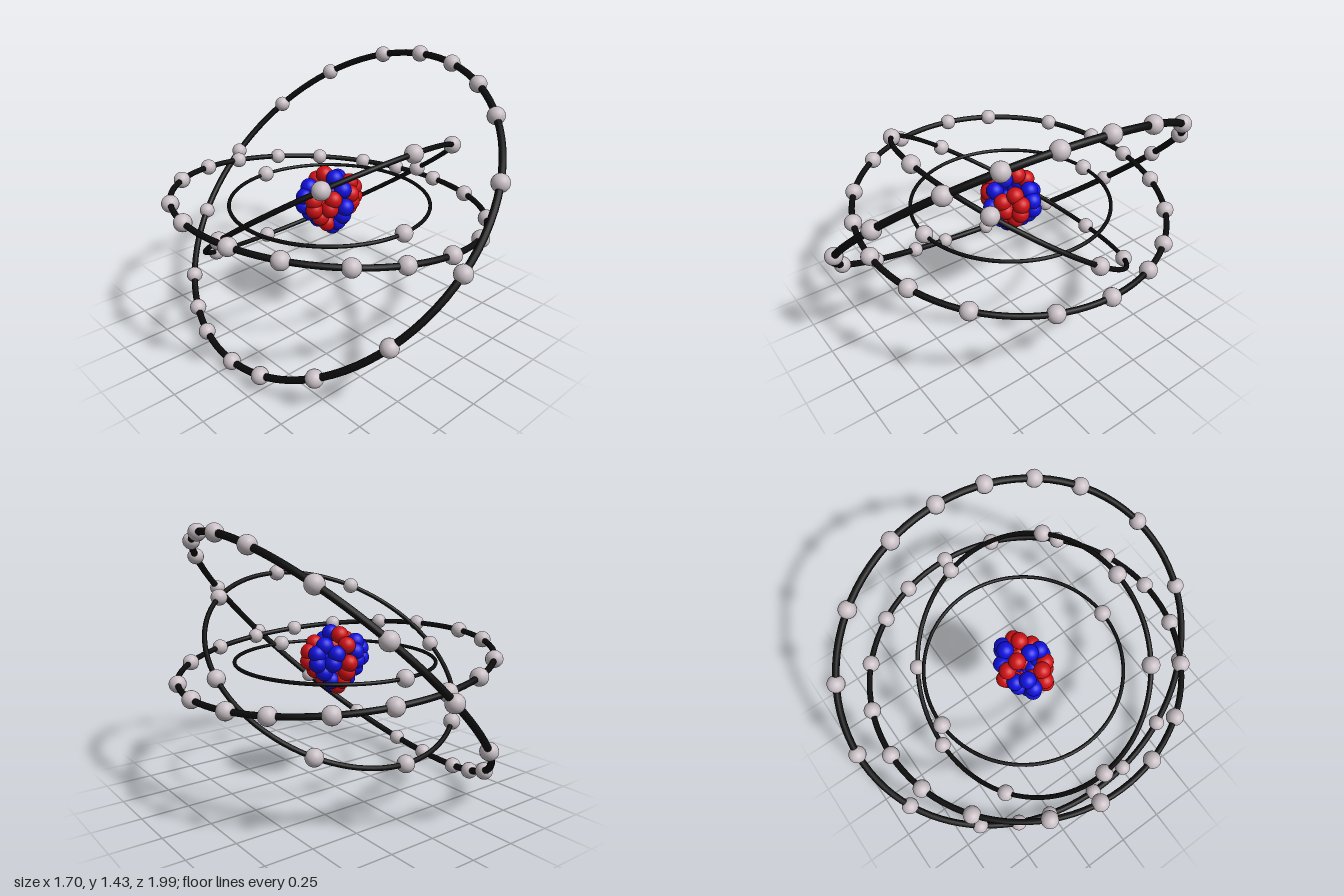
import * as THREE from 'three';

const CENTER_Y = 0.72;
const mat = (color) => new THREE.MeshStandardMaterial({ color });

// Each shell: radius, in-plane axes u and v, electron angles in degrees from u towards v
const SHELLS = [
  { name: 'innerShell', r: 0.523, u: [0, 0, 1], v: [1, 0, 0], angles: [0, 182] },
  { name: 'secondShell', r: 0.692, u: [0, 0.59, 0.807], v: [1, 0, 0],
    angles: [0, 39.5, 90, 140.5, 180, 219.5, 270, 320.5] },
  { name: 'thirdShell', r: 0.815, u: [0, 0, 1], v: [0.994, -0.107, 0],
    angles: [0, 19.5, 41, 68, 88, 107, 122.5, 142, 161, 180, 197, 217, 243.5, 261.5, 285, 303, 324, 341.5] },
  { name: 'outerShell', r: 0.955, u: [0.705, 0.705, 0.074], v: [-0.105, 0, 0.995],
    angles: [10, 25, 40, 63, 90, 117, 141, 161, 174.5, 192, 203.5, 217.5, 244, 270, 294, 316.3, 339, 355] },
];

// Nucleon layers: height above the centre, then [x, z] spots mirrored in x and z
const LAYERS = [
  [0.135, [[0, 0.04]]],
  [0.09, [[0, 0.1], [0.1, 0.045]]],
  [0.05, [[0.14, 0.035], [0.06, 0.095]]],
  [0, [[0, 0.12], [0.14, 0.04], [0.075, 0.085]]],
  [-0.05, [[0, 0.1], [0.1, 0.04]]],
  [-0.1, [[0, 0.06], [0.05, 0.035]]],
  [-0.138, [[0, 0.02]]],
];

function makeShell({ name, r, u, v, angles }, ringMat, electronMat, electronGeo) {
  const shell = new THREE.Group();
  shell.name = name;
  const U = new THREE.Vector3(...u).normalize();
  const V = new THREE.Vector3(...v).normalize();
  const W = new THREE.Vector3().crossVectors(U, V);
  shell.quaternion.setFromRotationMatrix(new THREE.Matrix4().makeBasis(U, V, W));

  const ring = new THREE.Mesh(new THREE.TorusGeometry(r, r * 0.0185, 12, 96), ringMat);
  ring.name = 'orbitRing';
  shell.add(ring);

  for (const deg of angles) {
    const a = THREE.MathUtils.degToRad(deg);
    const electron = new THREE.Mesh(electronGeo, electronMat);
    electron.name = 'electron';
    electron.position.set(r * Math.cos(a), r * Math.sin(a), 0);
    shell.add(electron);
  }
  return shell;
}

function makeNucleus() {
  const nucleus = new THREE.Group();
  nucleus.name = 'nucleus';
  const geo = new THREE.SphereGeometry(0.045, 24, 16);
  const red = mat(0xd01014), blue = mat(0x1010e0);
  for (const [y, spots] of LAYERS) {
    for (const [x, z] of spots) {
      for (const sx of x ? [1, -1] : [1]) {
        for (const sz of [1, -1]) {
          // Alternate colours between middle column and side lobes
          const isBlue = (x < 0.05) === (sz > 0);
          const ball = new THREE.Mesh(geo, isBlue ? blue : red);
          ball.name = isBlue ? 'neutron' : 'proton';
          ball.position.set(x * sx, y, z * sz);
          nucleus.add(ball);
        }
      }
    }
  }
  return nucleus;
}

export function createModel() {
  const model = new THREE.Group();
  model.name = 'atom';
  const atom = new THREE.Group();
  atom.name = 'atomBody';
  atom.position.y = CENTER_Y;
  model.add(atom);

  atom.add(makeNucleus());
  const ringMat = mat(0x0c0c0c), electronMat = mat(0xc8bfc4);
  const electronGeo = new THREE.SphereGeometry(0.044, 24, 16);
  for (const s of SHELLS) atom.add(makeShell(s, ringMat, electronMat, electronGeo));
  return model;
}
